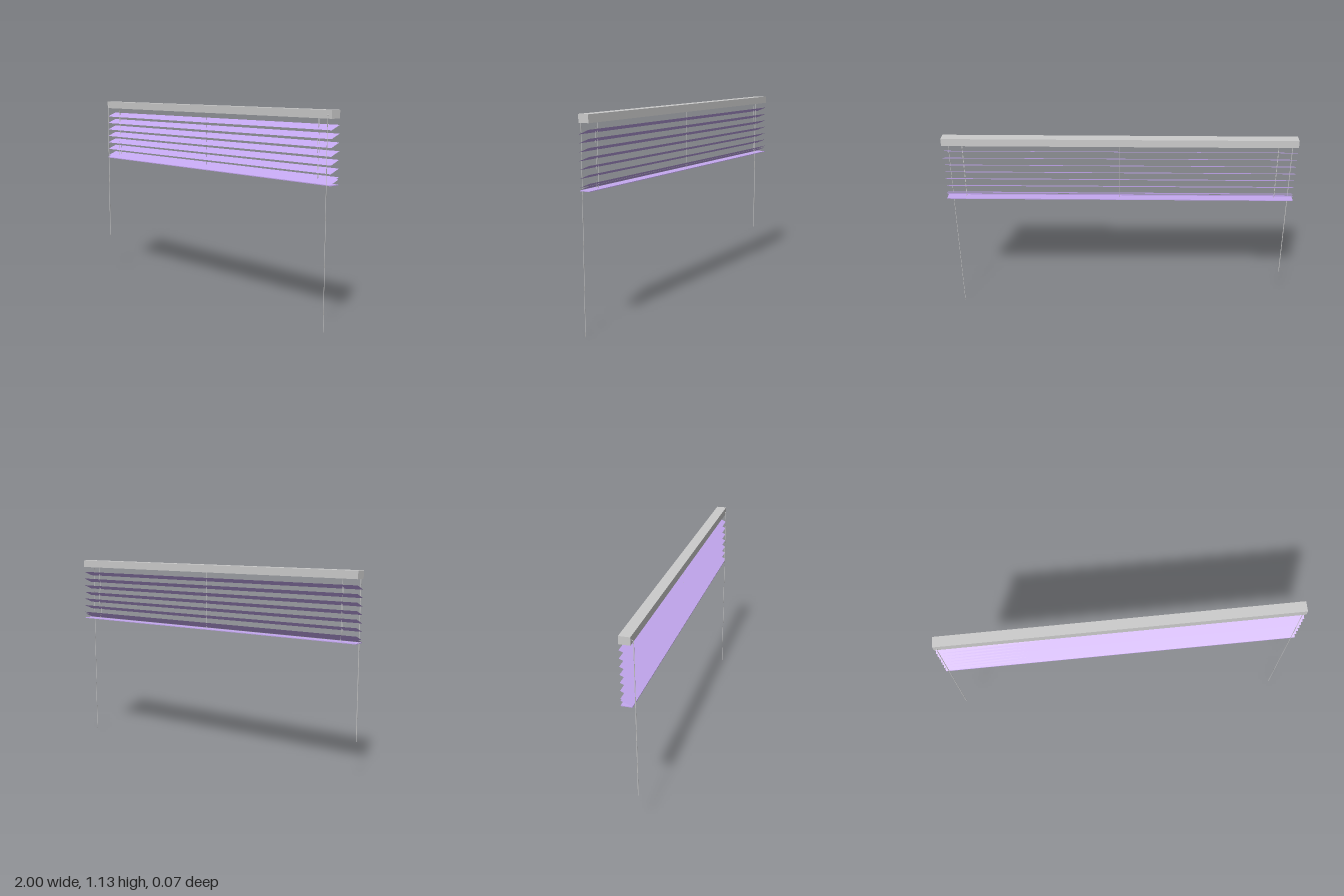
import * as THREE from 'three';

const grey = new THREE.MeshStandardMaterial({ color: 0xcccccc });
const lilac = new THREE.MeshStandardMaterial({ color: 0xc4a8f0, side: THREE.DoubleSide });

const DEPTH = 0.06, RISE = 0.025, ZC = -0.005;

export function createModel() {
  const group = new THREE.Group();
  group.name = 'windowBlind';

  const add = (name, geometry, material, x, y, z) => {
    const mesh = new THREE.Mesh(geometry, material);
    mesh.name = name;
    mesh.position.set(x, y, z);
    group.add(mesh);
    return mesh;
  };
  // Upright thin cord between two heights
  const cord = (name, x, z, y0, y1, r) =>
    add(name, new THREE.CylinderGeometry(r, r, y1 - y0, 8), grey, x, (y0 + y1) / 2, z);

  // Head rail
  add('headRail', new THREE.BoxGeometry(2, 0.043, DEPTH), grey, 0, 1.1135, ZC);

  // Tilted slats: back edge high, front edge low
  const slat = new THREE.PlaneGeometry(2, Math.hypot(DEPTH, RISE));
  slat.rotateX(-Math.PI / 2 + Math.atan2(RISE, DEPTH));
  for (let i = 0; i < 7; i++) add('slat' + (i + 1), slat, lilac, 0, 1.048 - i * 0.0437, ZC);
  add('lowestSlat', slat, lilac, 0, 0.775, ZC);

  // Flat bottom rail
  add('bottomRail', new THREE.BoxGeometry(2, 0.004, DEPTH), lilac, 0, 0.759, ZC);

  // Lift cords through the slats
  for (const x of [-0.895, 0, 0.89]) {
    cord('liftCord', x, -0.007, 0.757, 1.093, 0.0013);
    cord('ladderCord', x, 0.004, 0.757, 1.093, 0.0008);
  }

  // Tilt wand with its hook, on the right
  cord('tiltWand', -0.98, 0.034, 0.225, 1.1, 0.0022);
  const hook = new THREE.CatmullRomCurve3([
    new THREE.Vector3(-0.98, 1.113, 0.022),
    new THREE.Vector3(-0.98, 1.11, 0.03),
    new THREE.Vector3(-0.98, 1.099, 0.034),
  ]);
  add('wandHook', new THREE.TubeGeometry(hook, 8, 0.0018, 6), grey, 0, 0, 0);

  // Pull cord on the left
  cord('pullCord', 0.975, 0.029, 0, 1.11, 0.0015);
  const outlet = new THREE.CylinderGeometry(0.002, 0.002, 0.008, 8).rotateX(Math.PI / 2);
  add('cordOutlet', outlet, grey, 0.975, 1.11, 0.027);

  return group;
}
